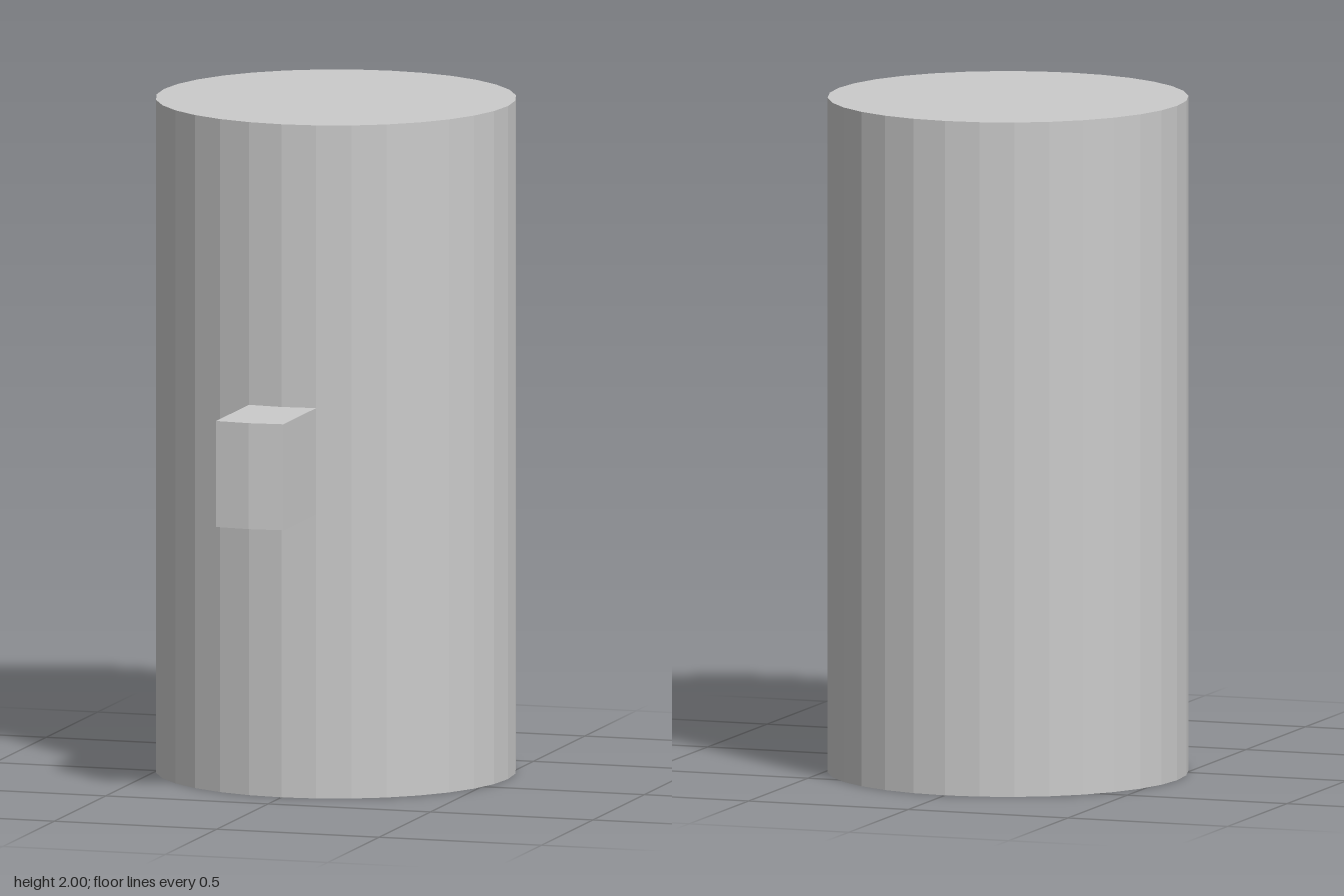
import * as THREE from 'three';

export function createModel() {
  const group = new THREE.Group();
  const material = new THREE.MeshStandardMaterial({ color: 0xcccccc, flatShading: true });
  const radius = 0.53, sides = 32, centreZ = -0.16;

  // Faceted drum, with a corner facing straight forward
  const body = new THREE.Mesh(new THREE.CylinderGeometry(radius, radius, 2, sides), material);
  body.name = 'body';
  body.position.set(0, 1, centreZ);
  group.add(body);

  // Tab two facets wide, pushed straight out of the wall
  const step = (2 * Math.PI) / sides;
  const halfWidth = radius * Math.sin(step);
  const wallSide = centreZ + radius * Math.cos(step);
  const wallMiddle = centreZ + radius;
  const reach = 0.32, bottom = 0.845, height = 0.315;
  const outline = new THREE.Shape([
    [-halfWidth, wallSide], [0, wallMiddle], [halfWidth, wallSide],
    [halfWidth, wallSide + reach], [0, wallMiddle + reach], [-halfWidth, wallSide + reach],
  ].map(([x, z]) => new THREE.Vector2(x, z)));
  const tabGeometry = new THREE.ExtrudeGeometry(outline, { depth: height, bevelEnabled: false });
  tabGeometry.rotateX(Math.PI / 2);
  const tab = new THREE.Mesh(tabGeometry, material);
  tab.name = 'frontTab';
  tab.position.y = bottom + height;
  group.add(tab);

  return group;
}
